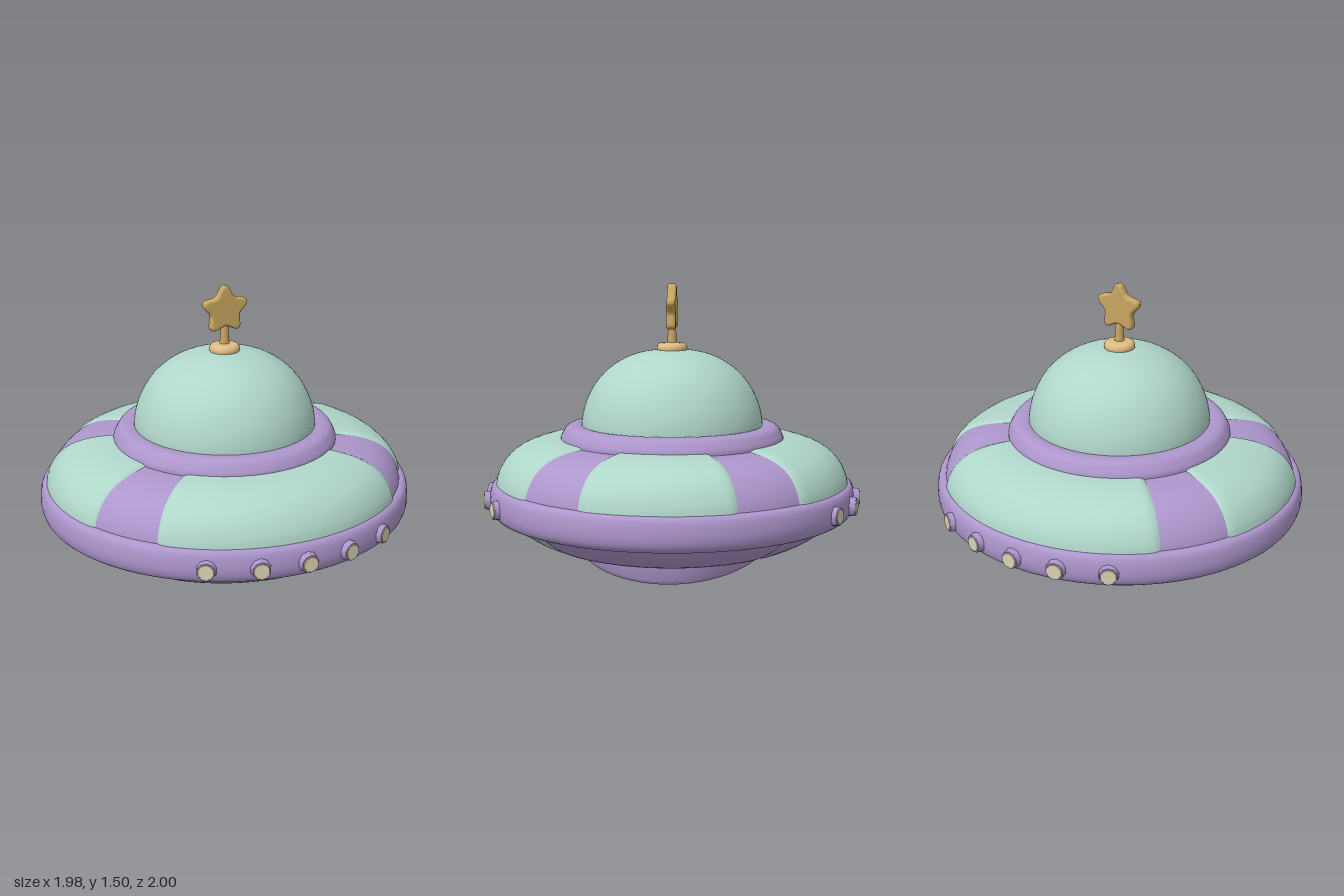
import * as THREE from 'three';
import { ParametricGeometry } from 'three/addons/geometries/ParametricGeometry.js';

const mat = (name, color, side = THREE.FrontSide) => {
  const m = new THREE.MeshStandardMaterial({ color, side });
  m.name = name;
  return m;
};
const v2 = (x, y) => new THREE.Vector2(x, y);
const spline = (pts) => new THREE.SplineCurve(pts.map(([x, y]) => v2(x, y)));

// Point on a profile, moved outward along its normal
function offsetPoint(curve, t, d) {
  const p = curve.getPoint(t), n = curve.getTangent(t);
  return v2(p.x + n.y * d, p.y - n.x * d);
}

function offsetLathe(curve, d, steps = 20, segments = 72) {
  const pts = [];
  for (let i = 0; i <= steps; i++) pts.push(offsetPoint(curve, i / steps, d));
  return new THREE.LatheGeometry(pts, segments);
}

// Puffed hull sector whose side edges sink into the hull below
function puffedPanel(curve, centre, halfAngle, sink, edge) {
  return new ParametricGeometry((u, v, out) => {
    const e = Math.min(1, Math.min(u, 1 - u) / edge);
    const p = offsetPoint(curve, v, -sink * Math.pow(1 - e, 3));
    const a = centre + (u * 2 - 1) * halfAngle;
    out.set(p.x * Math.sin(a), p.y, p.x * Math.cos(a));
  }, 48, 16);
}

// Five-pointed star with rounded corners
function starShape(outer, inner) {
  const pts = [];
  for (let i = 0; i < 10; i++) {
    const r = i % 2 ? inner : outer, a = Math.PI / 2 + i * Math.PI / 5;
    pts.push(v2(r * Math.cos(a), r * Math.sin(a)));
  }
  const shape = new THREE.Shape();
  pts.forEach((p, i) => {
    const a = p.clone().lerp(pts[(i + 9) % 10], 0.32);
    const b = p.clone().lerp(pts[(i + 1) % 10], 0.32);
    if (i) shape.lineTo(a.x, a.y); else shape.moveTo(a.x, a.y);
    shape.quadraticCurveTo(p.x, p.y, b.x, b.y);
  });
  shape.closePath();
  return shape;
}

export function createModel() {
  const model = new THREE.Group();
  model.name = 'flyingSaucer';
  const mint = mat('mint', 0xb0d6ca);
  const lilac = mat('lilac', 0xad96cc);
  const gold = mat('gold', 0xc9a560);
  const peach = mat('peachGold', 0xdfbb83);
  const cream = mat('cream', 0xdcd3b2);
  const add = (name, geometry, material, parent = model) => {
    const mesh = new THREE.Mesh(geometry, material);
    mesh.name = name;
    parent.add(mesh);
    return mesh;
  };

  // Hull, slightly narrower from front to back
  const hull = new THREE.Group();
  hull.name = 'hull';
  hull.scale.z = 0.975;
  model.add(hull);

  const upper = spline([[0.96, 0.44], [0.945, 0.51], [0.9, 0.585], [0.83, 0.64], [0.73, 0.675], [0.62, 0.69], [0.5, 0.695]]);
  const lower = spline([[0.45, 0.13], [0.56, 0.13], [0.64, 0.138], [0.73, 0.17], [0.83, 0.228], [0.92, 0.305]]);
  add('upperHullRibs', offsetLathe(upper, -0.012), lilac, hull);
  add('lowerHull', offsetLathe(lower, -0.012), lilac, hull);

  const rad = THREE.MathUtils.degToRad;
  ['front', 'left', 'back', 'right'].forEach((side, i) => {
    const centre = i * Math.PI / 2;
    const half = rad(i % 2 ? 26 : 45.5);
    add(side + 'UpperPanel', puffedPanel(upper, centre, half, 0.035, i % 2 ? 0.12 : 0.07), mint, hull);
    add(side + 'LowerPanel', puffedPanel(lower, centre, rad(45), 0.02, 0.05), i ? lilac : mint, hull);
  });

  // Rounded bumper around the widest part
  const rim = spline([[0.85, 0.295], [0.93, 0.288], [0.972, 0.308], [0.989, 0.345], [0.992, 0.39],
    [0.984, 0.44], [0.965, 0.464], [0.93, 0.468], [0.88, 0.465]]);
  add('rim', offsetLathe(rim, 0, 24), lilac, hull);

  // Collar at the base of the dome
  const collar = spline([[0.59, 0.66], [0.592, 0.695], [0.578, 0.725], [0.56, 0.75], [0.53, 0.762], [0.49, 0.762], [0.46, 0.75]]);
  add('collar', offsetLathe(collar, 0), lilac);

  // Dome
  const dome = spline([[0.482, 0.74], [0.478, 0.8], [0.455, 0.885], [0.405, 0.98], [0.33, 1.06],
    [0.23, 1.12], [0.12, 1.15], [0, 1.158]]);
  add('dome', offsetLathe(dome, 0, 28), mint);

  // Foot with a saddle-shaped underside
  const foot = new THREE.LatheGeometry([[0, 0], [0.12, 0], [0.24, 0], [0.36, 0], [0.46, 0], [0.475, 0.008],
    [0.485, 0.03], [0.5, 0.09], [0.51, 0.15]].map(([x, y]) => v2(x, y)), 64);
  const pos = foot.attributes.position;
  for (let i = 0; i < pos.count; i++) {
    const x = pos.getX(i), y = pos.getY(i);
    pos.setY(i, y + 0.065 * Math.max(0, 1 - (x / 0.48) ** 2) * (1 - y / 0.15));
  }
  foot.computeVertexNormals();
  add('foot', foot, lilac);

  // Five lamps on the front and five on the back of the rim
  for (const turn of [0, Math.PI]) {
    const row = new THREE.Group();
    row.name = turn ? 'backLamps' : 'frontLamps';
    row.rotation.y = turn;
    model.add(row);
    for (let i = -2; i <= 2; i++) {
      const a = Math.asin(i * 0.24 / 0.98);
      const lamp = new THREE.Group();
      lamp.name = 'lamp';
      lamp.position.set(Math.sin(a) * 0.94, 0.376, Math.cos(a) * 0.94);
      lamp.rotation.y = a;
      row.add(lamp);
      const housing = new THREE.CylinderGeometry(0.046, 0.056, 0.056, 10).rotateX(Math.PI / 2).translate(0, 0, 0.028);
      add('lampHousing', housing, lilac, lamp);
      const lens = new THREE.CylinderGeometry(0.038, 0.041, 0.005, 10).rotateX(Math.PI / 2).translate(0, 0, 0.0575);
      add('lampLens', lens, cream, lamp);
    }
  }

  // Antenna: base button, stem and star
  const button = spline([[0.07, 1.135], [0.08, 1.155], [0.079, 1.175], [0.065, 1.19], [0.03, 1.194], [0, 1.195]]);
  add('antennaBase', offsetLathe(button, 0, 14, 28), peach);
  add('antennaStem', new THREE.CylinderGeometry(0.017, 0.027, 0.13, 16).translate(0, 1.245, 0), gold);
  const star = new THREE.ExtrudeGeometry(starShape(0.126, 0.066), {
    depth: 0.016, bevelEnabled: true, bevelThickness: 0.016, bevelSize: 0.014, bevelSegments: 4, curveSegments: 6,
  });
  add('antennaStar', star.translate(0, 1.373, -0.008), gold);

  return model;
}
